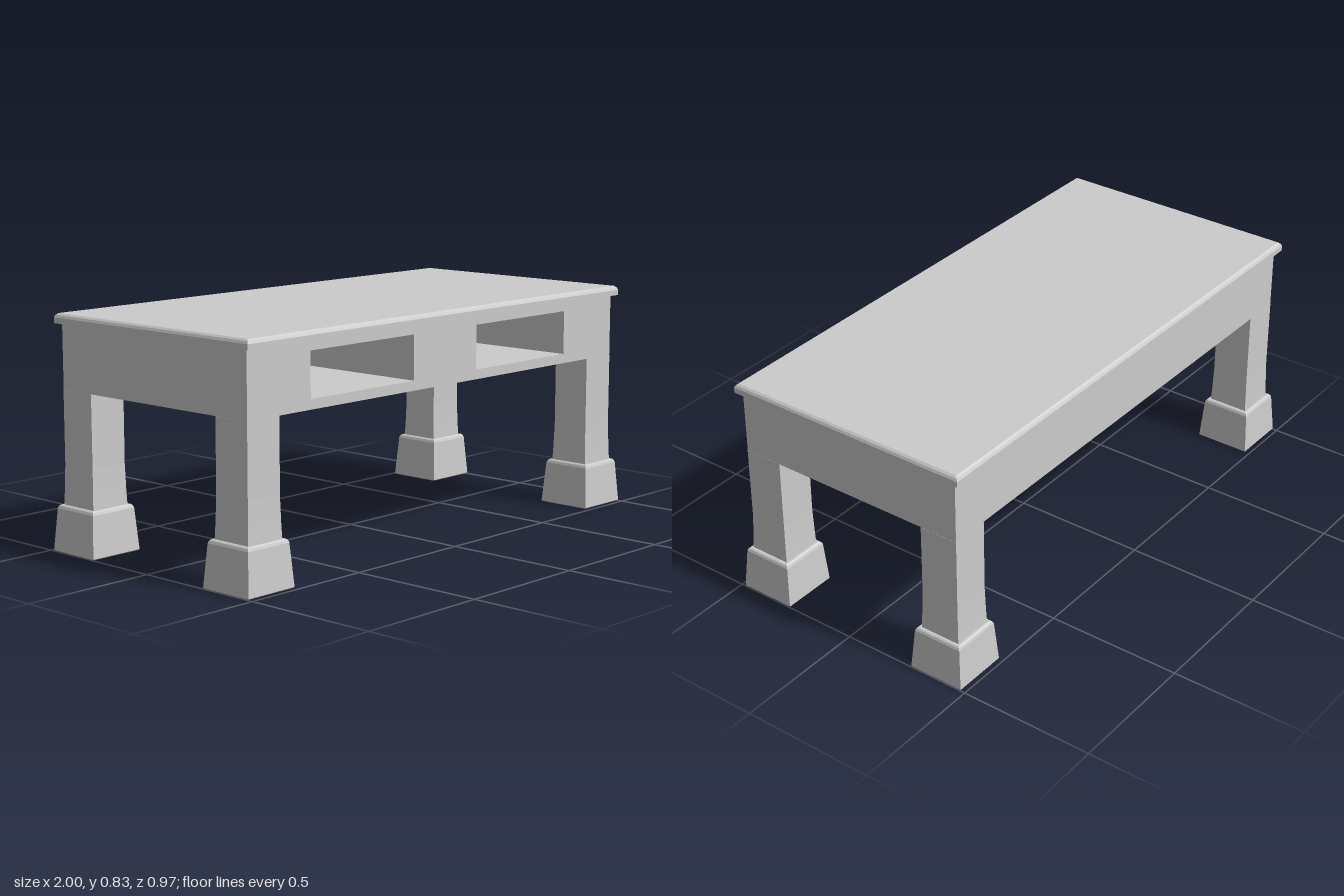
import * as THREE from 'three';

const grey = new THREE.MeshStandardMaterial({ color: 0xcccccc, flatShading: true });

function mesh(name, geometry, x = 0, y = 0, z = 0) {
  const m = new THREE.Mesh(geometry, grey);
  m.name = name;
  m.position.set(x, y, z);
  return m;
}

// Closed solid from stacked rectangles, each [y, half width, half depth], bottom to top
function stack(rings) {
  const corners = rings.map(([y, w, d]) => [[w, y, d], [w, y, -d], [-w, y, -d], [-w, y, d]]);
  const pos = [];
  const quad = (a, b, c, d) => pos.push(...a, ...b, ...c, ...a, ...c, ...d);
  for (let i = 0; i < corners.length - 1; i++) {
    const lo = corners[i], hi = corners[i + 1];
    for (let k = 0; k < 4; k++) {
      const n = (k + 1) % 4;
      quad(lo[k], lo[n], hi[n], hi[k]);
    }
  }
  const b = corners[0], t = corners[corners.length - 1];
  quad(b[3], b[2], b[1], b[0]);
  quad(t[0], t[1], t[2], t[3]);
  const g = new THREE.BufferGeometry();
  g.setAttribute('position', new THREE.Float32BufferAttribute(pos, 3));
  g.computeVertexNormals();
  return g;
}

function rectangle(path, x0, y0, x1, y1) {
  path.moveTo(x0, y0);
  path.lineTo(x1, y0);
  path.lineTo(x1, y1);
  path.lineTo(x0, y1);
  path.closePath();
  return path;
}

export function createModel() {
  const table = new THREE.Group();
  table.name = 'coffeeTable';

  const W = 0.967, D = 0.45, y0 = 0.57, y1 = 0.8, nicheDepth = 0.6;

  // Front of the apron, pierced by two open drawer niches
  const face = rectangle(new THREE.Shape(), -W, y0, W, y1);
  for (const x of [-0.677, 0.167]) {
    face.holes.push(rectangle(new THREE.Path(), x, 0.605, x + 0.51, 0.765));
  }
  const front = new THREE.ExtrudeGeometry(face, { depth: nicheDepth, bevelEnabled: false });
  table.add(mesh('apronWithNiches', front, 0, 0, D - nicheDepth));

  // Solid rear of the apron, closing the niches
  const rear = 2 * D - nicheDepth;
  table.add(mesh('apronBack', new THREE.BoxGeometry(2 * W, y1 - y0, rear),
    0, (y0 + y1) / 2, -D + rear / 2));

  // Table top with a chamfered upper edge
  table.add(mesh('tableTop', stack([
    [0.8, 0.984, 0.473], [0.82, 0.984, 0.473], [0.829, 0.98, 0.468], [0.835, 0.973, 0.461],
  ])));

  // Slightly flared legs on tapered block feet
  const leg = stack([
    [0.16, 0.0775, 0.0775], [0.22, 0.075, 0.075], [0.31, 0.0725, 0.0725], [y0, 0.0725, 0.0725],
  ]);
  const foot = stack([
    [0, 0.1, 0.1], [0.004, 0.105, 0.105], [0.153, 0.0935, 0.0935],
    [0.162, 0.09, 0.09], [0.166, 0.085, 0.085],
  ]);
  for (const sx of [-1, 1]) {
    for (const sz of [-1, 1]) {
      const group = new THREE.Group();
      group.name = (sz > 0 ? 'front' : 'back') + (sx > 0 ? 'Left' : 'Right') + 'Leg';
      group.position.set(sx * 0.895, 0, sz * 0.378);
      group.add(mesh('legPost', leg), mesh('foot', foot));
      table.add(group);
    }
  }
  return table;
}
